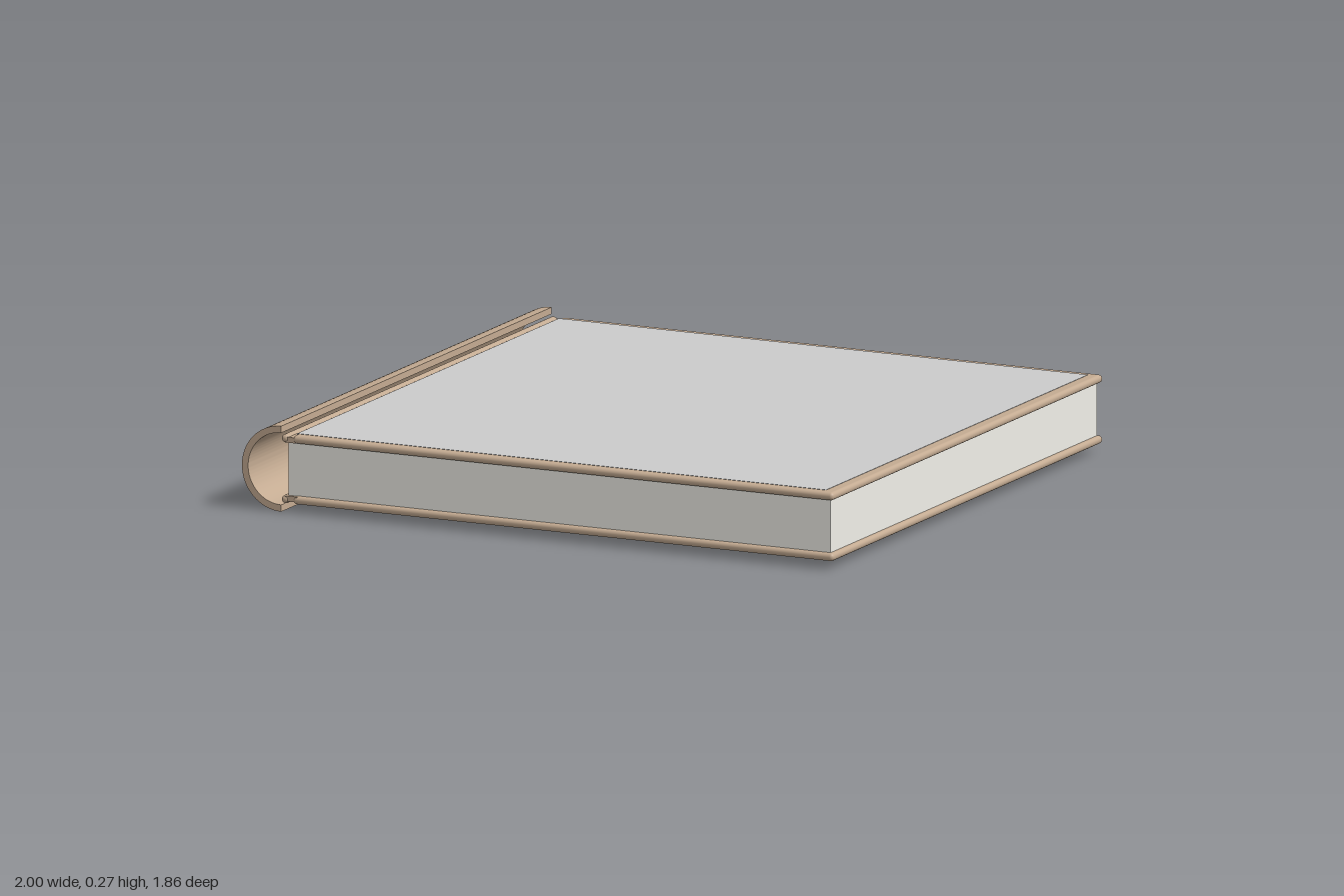
import * as THREE from 'three';
import { toCreasedNormals } from 'three/addons/utils/BufferGeometryUtils.js';
import { RoundedBoxGeometry } from 'three/addons/geometries/RoundedBoxGeometry.js';

const DEPTH = 1.86;
const MID_Y = 0.133;

export function createModel() {
  const book = new THREE.Group();
  book.name = 'book';
  const leather = new THREE.MeshStandardMaterial({ color: 0xc4ab92 });
  const paper = new THREE.MeshStandardMaterial({ color: 0xf0efe8 });
  const grey = new THREE.MeshStandardMaterial({ color: 0xcccccc });

  function add(parent, name, geometry, material, x, y, z = 0) {
    const mesh = new THREE.Mesh(geometry, material);
    mesh.name = name;
    mesh.position.set(x, y, z);
    parent.add(mesh);
    return mesh;
  }

  // Spine: half a tube, open towards the pages
  const ring = new THREE.Shape();
  ring.absarc(0, 0, 0.133, Math.PI / 2, Math.PI * 1.5, false);
  ring.absarc(0, 0, 0.112, Math.PI * 1.5, Math.PI / 2, true);
  ring.closePath();
  const spine = new THREE.ExtrudeGeometry(ring, { depth: DEPTH, bevelEnabled: false, curveSegments: 32 });
  spine.translate(0, 0, -DEPTH / 2);
  add(book, 'spine', toCreasedNormals(spine, 0.6), leather, -0.867, MID_Y);

  // Page block
  add(book, 'pages', new THREE.BoxGeometry(1.835, 0.17, 1.83), paper, 0.0675, MID_Y);

  // Covers: board, recessed hinge and rounded bead beside the spine
  for (const side of [1, -1]) {
    const cover = new THREE.Group();
    cover.name = side > 0 ? 'topCover' : 'bottomCover';
    cover.position.y = MID_Y + side * 0.0945;
    book.add(cover);
    add(cover, 'board', new RoundedBoxGeometry(1.83, 0.025, DEPTH, 4, 0.012), leather, 0.085, 0);
    add(cover, 'hinge', new THREE.BoxGeometry(0.04, 0.017, DEPTH - 0.006), leather, -0.835, -side * 0.003);
    add(cover, 'hingeBead', new RoundedBoxGeometry(0.026, 0.025, DEPTH, 4, 0.012), leather, -0.856, 0);
    // Grey sheet laid on the upper board
    if (side > 0) add(cover, 'coverPanel', new THREE.BoxGeometry(1.79, 0.004, 1.8), grey, 0.067, 0.0115);
  }
  return book;
}
